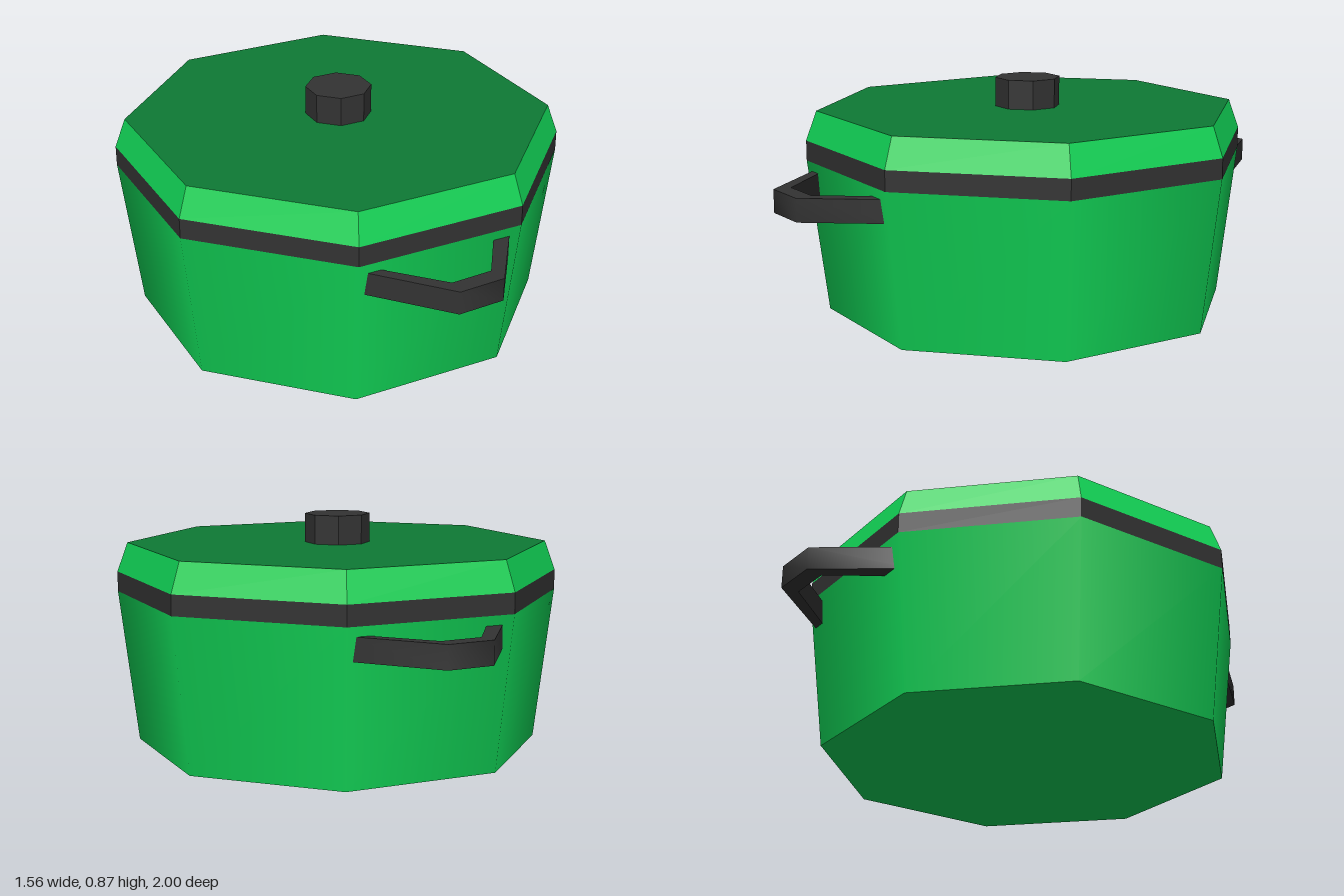
import * as THREE from 'three';
import { toCreasedNormals } from 'three/addons/utils/BufferGeometryUtils.js';

const TURN = THREE.MathUtils.degToRad(19.75); // twist shared by all the octagons

function material(name, color) {
  const m = new THREE.MeshStandardMaterial({ color });
  m.name = name;
  return m;
}

export function createModel() {
  const green = material('enamelGreen', 0x11d155);
  const darkGreen = material('lidTopGreen', 0x0e7a35);
  const black = material('charcoal', 0x333333);
  const model = new THREE.Group();
  model.name = 'cookingPot';

  // Eight-sided ring between two heights; faceted unless smooth
  function octagon(name, rTop, rBottom, y0, y1, mats, smooth = false) {
    let geo = new THREE.CylinderGeometry(rTop, rBottom, y1 - y0, 8, 1, false, TURN);
    if (!smooth) {
      geo = geo.toNonIndexed(); // keeps the side / top / bottom groups
      geo.computeVertexNormals();
    }
    geo.translate(0, (y0 + y1) / 2, 0);
    const mesh = new THREE.Mesh(geo, mats);
    mesh.name = name;
    model.add(mesh);
  }

  octagon('body', 0.83, 0.76, 0, 0.575, green, true);
  octagon('rimBand', 0.83, 0.83, 0.575, 0.65, black);
  octagon('lid', 0.79, 0.83, 0.65, 0.76, [green, darkGreen, green]);
  octagon('knob', 0.122, 0.122, 0.76, 0.868, black);

  // Bent strap handle, outlined from above as (x, z)
  const outline = [
    [-0.34, 0.72], [-0.12, 1], [0.055, 1], [0.28, 0.72],
    [0.21, 0.72], [0.045, 0.937], [-0.11, 0.937], [-0.292, 0.72],
  ].map(([x, z]) => new THREE.Vector2(x, z));
  const strap = new THREE.ExtrudeGeometry(new THREE.Shape(outline), { depth: 0.085, bevelEnabled: false });
  strap.rotateX(Math.PI / 2).translate(0, 0.54, 0);
  const strapGeo = toCreasedNormals(strap, 1);

  // The back handle is the front one turned half way round
  ['frontHandle', 'backHandle'].forEach((name, i) => {
    const handle = new THREE.Mesh(strapGeo, black);
    handle.name = name;
    handle.rotation.y = i * Math.PI;
    model.add(handle);
  });

  return model;
}
